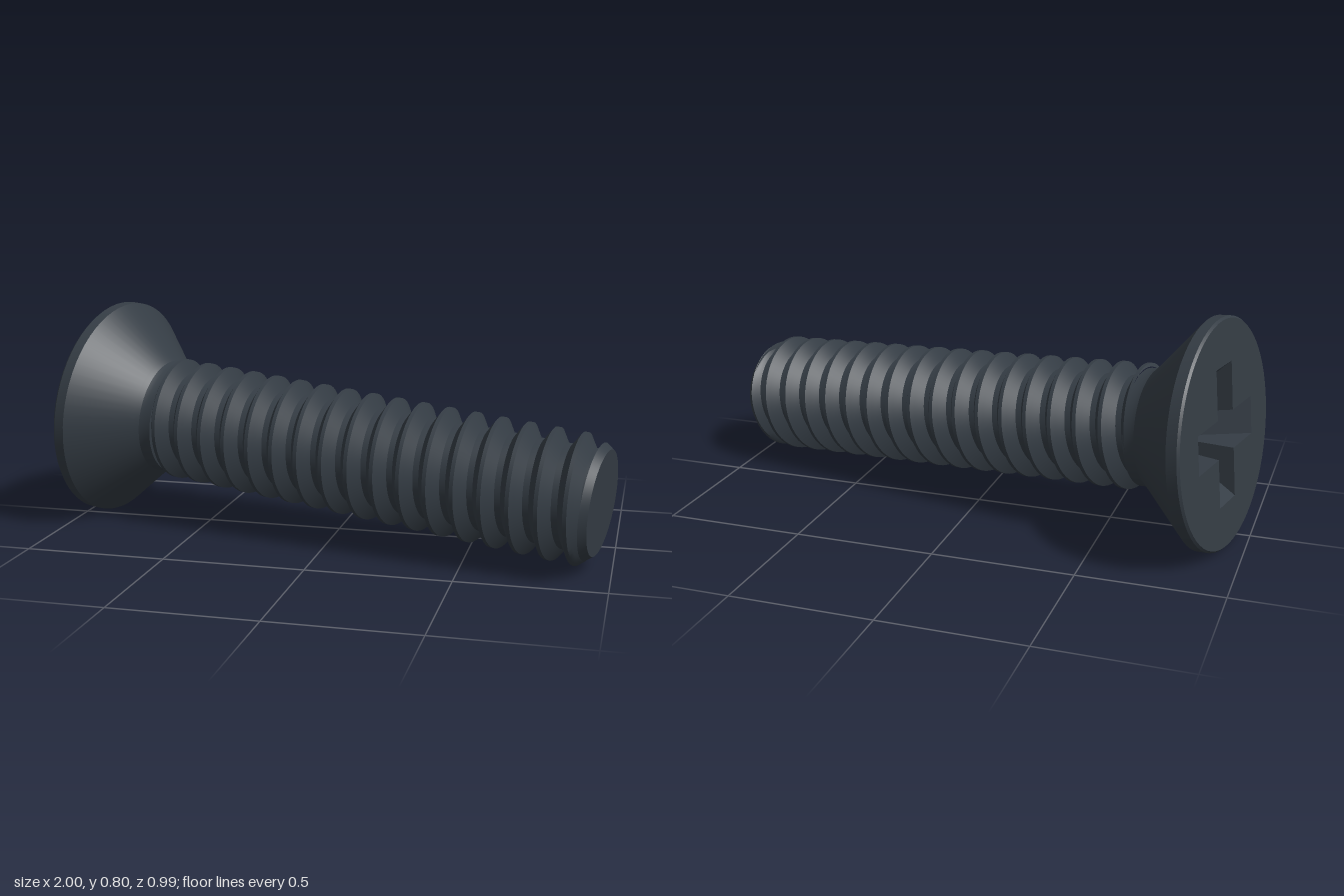
import * as THREE from 'three';
import { toCreasedNormals } from 'three/addons/utils/BufferGeometryUtils.js';

const SEG = 64;
const LENGTH = 1.92, PITCH = 0.0965;
const CREST = 0.222, ROOT = 0.176;
const THREAD_START = 0.275, THREAD_END = 1.9;

const steel = new THREE.MeshStandardMaterial({ color: 0x343c44 });
steel.name = 'dark steel';

function part(name, geometry) {
  const mesh = new THREE.Mesh(geometry, steel);
  mesh.name = name;
  return mesh;
}

// Turned part along +x from [distance, radius] pairs
function turned(name, profile) {
  // lathe profiles run upwards, so the outside faces out
  const pts = profile.map(([s, r]) => new THREE.Vector2(r, s));
  const g = new THREE.LatheGeometry(pts, SEG);
  g.rotateZ(-Math.PI / 2);
  return part(name, toCreasedNormals(g, 0.45));
}

// Radius of the thread; t is the distance from a crest in pitches
function threadRadius(t) {
  const d = Math.abs(t - Math.round(t));
  const k = THREE.MathUtils.clamp((d - 0.07) / 0.32, 0, 1);
  return CREST + (ROOT - CREST) * k;
}

// Right-handed helical thread whose rows follow the helix
function threadGeometry() {
  const steps = [0, 0.07, 0.18, 0.29, 0.39, 0.5, 0.61, 0.71, 0.82, 0.93];
  const rows = [];
  for (let turn = -2; turn < 19; turn++) for (const f of steps) rows.push(turn + f);
  const pos = [], index = [], w = SEG + 1;
  rows.forEach((row, i) => {
    for (let j = 0; j <= SEG; j++) {
      const turnPart = j / SEG, a = turnPart * Math.PI * 2;
      const s = THREE.MathUtils.clamp(0.287 + PITCH * (row + turnPart), THREAD_START, THREAD_END);
      const chamfer = 0.18 + (LENGTH - s) * 0.85;
      const r = Math.min(threadRadius((s - 0.287) / PITCH - turnPart), chamfer);
      pos.push(s, r * Math.cos(a), r * Math.sin(a));
      if (i && j) {
        const d = i * w + j, c = d - 1, b = d - w, e = b - 1;
        index.push(e, b, c, b, d, c);
      }
    }
  });
  const g = new THREE.BufferGeometry();
  g.setAttribute('position', new THREE.Float32BufferAttribute(pos, 3));
  g.setIndex(index);
  return toCreasedNormals(g, 0.6);
}

// Cross outline, counter-clockwise: arm half length and half width
function crossOutline(len, wid) {
  const pts = [];
  for (let i = 0; i < 4; i++) {
    for (const [x, y] of [[len, -wid], [len, wid], [wid, wid]]) {
      pts.push(new THREE.Vector2(x, y).rotateAround(new THREE.Vector2(), i * Math.PI / 2));
    }
  }
  return pts;
}

// Flat head face with a tapering cross recess
function driveFace() {
  const group = new THREE.Group();
  group.name = 'driveFace';
  const depth = 0.17;
  const top = crossOutline(0.24, 0.068), bottom = crossOutline(0.1, 0.05);

  const disc = new THREE.Shape().absarc(0, 0, 0.393, 0, Math.PI * 2);
  disc.holes.push(new THREE.Path(top.slice().reverse()));
  group.add(part('headFace', new THREE.ShapeGeometry(disc, SEG / 2)));

  const pos = [];
  top.forEach((a, i) => {
    const n = (i + 1) % top.length, b = top[n], c = bottom[n], d = bottom[i];
    pos.push(a.x, a.y, 0, b.x, b.y, 0, c.x, c.y, -depth);
    pos.push(a.x, a.y, 0, c.x, c.y, -depth, d.x, d.y, -depth);
  });
  const walls = new THREE.BufferGeometry();
  walls.setAttribute('position', new THREE.Float32BufferAttribute(pos, 3));
  walls.computeVertexNormals();
  group.add(part('recessWalls', walls));

  const floor = part('recessFloor', new THREE.ShapeGeometry(new THREE.Shape(bottom)));
  floor.position.z = -depth;
  group.add(floor);

  group.rotation.y = -Math.PI / 2;
  return group;
}

export function createModel() {
  const screw = new THREE.Group();
  screw.name = 'screw';

  // Countersunk head and neck
  screw.add(turned('head', [
    [0, 0.393], [0.008, 0.4], [0.045, 0.4], [0.225, 0.225], [0.242, 0.21], [0.26, 0.205],
    [0.285, 0.205], [0.295, 0.17],
  ]));
  screw.add(driveFace());

  // Threaded shank and chamfered tip
  screw.add(part('thread', threadGeometry()));
  screw.add(turned('tip', [[1.89, 0.17], [1.895, 0.199], [LENGTH, 0.18], [LENGTH, 0]]));

  // Lay the screw along its slanted axis
  const u = new THREE.Vector3(1.87, -0.165, 0.397).normalize();
  const w = new THREE.Vector3().crossVectors(u, new THREE.Vector3(0, 1, 0)).normalize();
  const v = new THREE.Vector3().crossVectors(w, u);
  screw.quaternion.setFromRotationMatrix(new THREE.Matrix4().makeBasis(u, v, w));
  screw.position.set(-0.91, 0.4, -0.107);

  const model = new THREE.Group();
  model.name = 'countersunkScrew';
  model.add(screw);
  return model;
}
